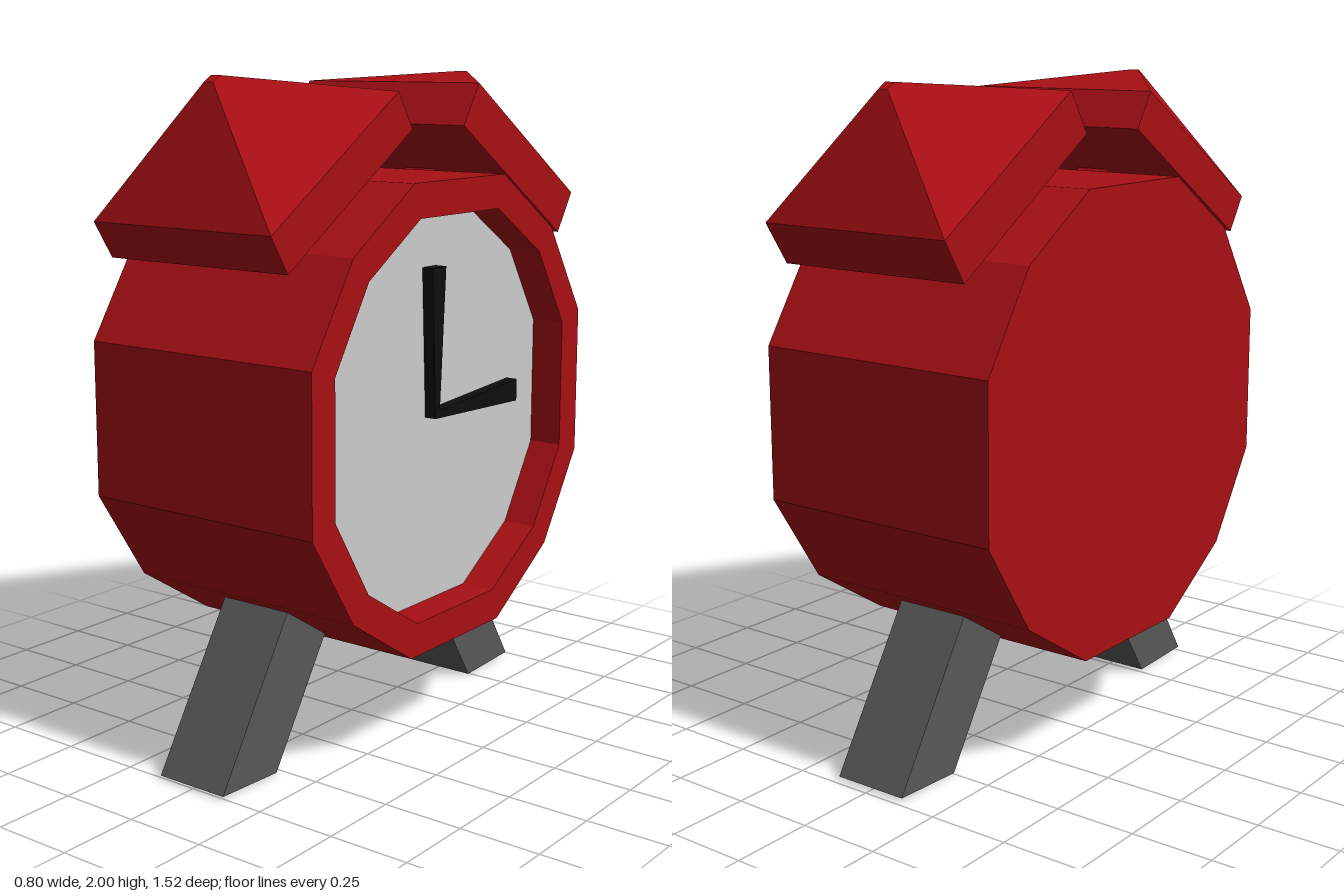
import * as THREE from 'three';

const mat = (color) => new THREE.MeshStandardMaterial({ color, flatShading: true });

// Prism from a [z, y] outline, running along x from x0 to x1
function prism(name, outline, x0, x1, material, hole) {
  const pts = (list) => list.map(([z, y]) => new THREE.Vector2(-z, y));
  const shape = new THREE.Shape(pts(outline));
  if (hole) shape.holes.push(new THREE.Path(pts(hole)));
  const geo = new THREE.ExtrudeGeometry(shape, { depth: x1 - x0, bevelEnabled: false });
  geo.rotateY(Math.PI / 2).translate(x0, 0, 0);
  const mesh = new THREE.Mesh(geo, material);
  mesh.name = name;
  return mesh;
}

// Twelve-sided outline: a square with its corners cut twice
function dodecagon(flat, mid, out) {
  const list = [];
  const quarter = [[flat, out], [mid, mid], [out, flat]];
  for (let i = 0; i < 4; i++) {
    const c = [1, 0, -1, 0][i], s = [0, 1, 0, -1][i];
    for (const [a, b] of quarter) list.push([0.008 + a * c + b * s, 1.02 - a * s + b * c]);
  }
  return list;
}

export function createModel() {
  const group = new THREE.Group();
  const red = mat(0xa80f14), grey = mat(0x585858), pale = mat(0xcccccc), black = mat(0x0e0e0e);

  // Case with a recessed dial on the +x side
  const outer = dodecagon(0.23, 0.51, 0.69);
  const inner = dodecagon(0.2, 0.44, 0.59);
  group.add(prism('case', outer, -0.4, 0.29, red));
  group.add(prism('rim', outer, 0.29, 0.4, red, inner));
  group.add(prism('dial', inner, 0.27, 0.293, pale));

  // Tapered hands
  group.add(prism('minuteHand', [[0.024, 1], [0.003, 1], [-0.024, 1.45], [0.045, 1.45]], 0.29, 0.33, black));
  group.add(prism('hourHand', [[0.02, 1], [0.01, 1.022], [-0.427, 1.052], [-0.427, 0.983]], 0.29, 0.33, black));

  // Splayed legs, running into the case
  for (const side of [1, -1]) {
    const leg = [[0.743, 0.01], [0.508, 0], [0.126, 0.6], [0.355, 0.63]].map(([z, y]) => [0.013 + side * z, y]);
    group.add(prism(side > 0 ? 'frontLeg' : 'backLeg', leg, -0.12, 0.12, grey));
  }

  // Tilted bells: square base with a pyramid on top, each on a short stem
  const bells = [
    { name: 'frontBell', z: 0.416, tilt: 0.567, base: 0.126 },
    { name: 'backBell', z: -0.4, tilt: -0.572, base: 0.145 },
  ];
  for (const { name, z, tilt, base } of bells) {
    const bell = new THREE.Group();
    bell.name = name;
    const profile = [[0, 0], [0.33, 0], [0.33, base], [0.017, 0.38], [0, 0.38]]
      .map(([r, y]) => new THREE.Vector2(r * Math.SQRT2, y));
    const dome = new THREE.Mesh(new THREE.LatheGeometry(profile, 4, Math.PI / 4), red);
    dome.scale.x = 0.32 / 0.33;
    dome.name = 'bellDome';
    const stem = new THREE.Mesh(new THREE.BoxGeometry(0.11, 0.24, 0.11), red);
    stem.position.y = -0.11;
    stem.name = 'bellStem';
    bell.add(dome, stem);
    bell.position.set(0, 1.674, z);
    bell.rotation.x = tilt;
    group.add(bell);
  }
  return group;
}
